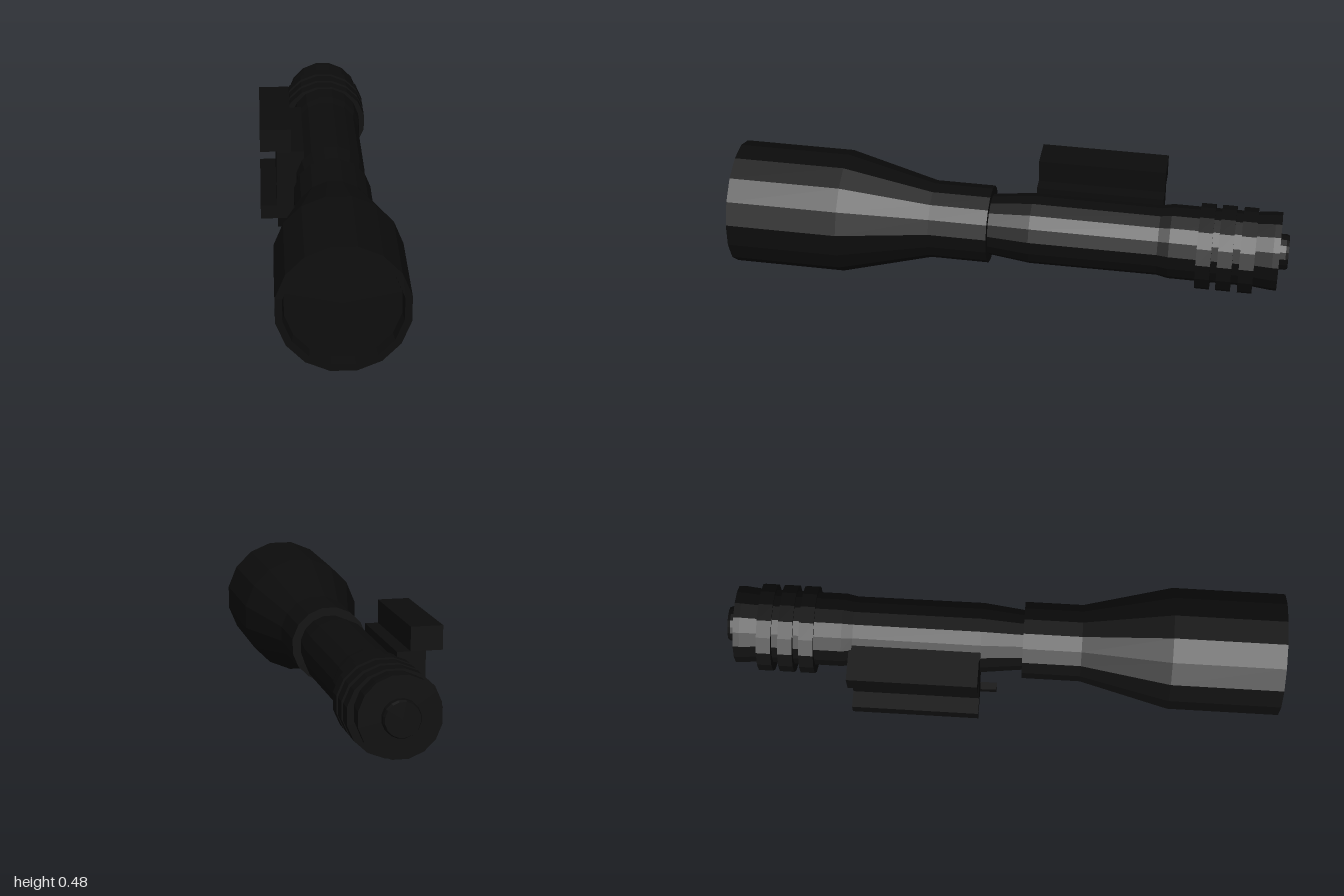
import * as THREE from 'three';

const AXIS_X = 0.018, AXIS_Y = 0.2625, SIDES = 16;

export function createModel() {
  const group = new THREE.Group();
  const black = new THREE.MeshStandardMaterial({ color: 0x0c0c0c });
  black.name = 'matte black';
  black.flatShading = true;

  const add = (name, geometry, x = 0, y = 0, z = 0) => {
    const mesh = new THREE.Mesh(geometry, black);
    mesh.name = name;
    mesh.position.set(x, y, z);
    group.add(mesh);
    return mesh;
  };

  // Turned part along z; profile is [distance to flat, z] from back to front
  const turned = (name, profile) => {
    const points = profile.map(([r, z]) => new THREE.Vector2(r / Math.cos(Math.PI / SIDES), z));
    const geometry = new THREE.LatheGeometry(points, SIDES, Math.PI / SIDES);
    geometry.rotateX(Math.PI / 2);
    return add(name, geometry, AXIS_X, AXIS_Y);
  };

  // Box given by its limits on each axis
  const block = (name, [x0, x1], [y0, y1], [z0, z1]) =>
    add(name, new THREE.BoxGeometry(x1 - x0, y1 - y0, z1 - z0),
      (x0 + x1) / 2, (y0 + y1) / 2, (z0 + z1) / 2);

  // Outline in [z, y], extruded from x0 to x1
  const sidePlate = (name, outline, x0, x1) => {
    const shape = new THREE.Shape(outline.map(([z, y]) => new THREE.Vector2(-z, y)));
    const geometry = new THREE.ExtrudeGeometry(shape, { depth: x1 - x0, bevelEnabled: false });
    geometry.rotateY(Math.PI / 2);
    return add(name, geometry, x0);
  };

  // Flared head with a recessed front
  turned('head', [
    [0, 0.07], [0.1375, 0.07], [0.1375, 0.28], [0.2175, 0.6], [0.2175, 1],
    [0.194, 1], [0.188, 0.95]
  ]);
  turned('lens', [[0.189, 0.955], [0, 0.955]]);

  // Handle tube and tail
  turned('barrel', [
    [0, -0.88], [0.131, -0.88], [0.131, -0.58], [0.123, -0.54],
    [0.125, -0.08], [0.107, 0.075]
  ]);
  turned('tailCap', [[0, -0.968], [0.1375, -0.968], [0.1375, -0.945], [0.13, -0.87]]);
  turned('tailButton', [[0, -1], [0.058, -1], [0.0625, -0.99], [0.0625, -0.96]]);

  // Grip rings, slightly wider than tall and set a little low
  for (const z of [-0.705, -0.78, -0.857]) {
    const ring = turned('gripRing', [[0, -0.026], [0.157, -0.026], [0.157, 0.026], [0, 0.026]]);
    ring.scale.y = 0.94;
    ring.position.set(0.0155, 0.2525, z);
  }

  // Side rail: two flanges joined by a web
  const railZ = [-0.54, -0.08];
  block('upperFlange', [-0.24, -0.127], [0.37, 0.455], railZ);
  block('lowerFlange', [-0.24, -0.12], [0.105, 0.157], railZ);
  block('railWeb', [-0.18, -0.08], [0.157, 0.37], railZ);
  block('railTopSupport', [-0.18, -0.127], [0.365, 0.375], railZ);

  // Clamp under the rail, with a quick release lever
  sidePlate('clamp', [
    [-0.21, 0.11], [-0.232, 0.006], [-0.24, 0], [-0.375, 0], [-0.383, 0.006], [-0.4, 0.11]
  ], -0.175, -0.13);
  const knob = new THREE.CylinderGeometry(0.045, 0.045, 0.04, 12);
  knob.rotateZ(Math.PI / 2);
  add('leverPivot', knob, -0.115, 0.065, -0.3);
  sidePlate('lever', [
    [-0.02, 0.104], [-0.02, 0.078], [-0.2, 0.058], [-0.3, 0.025], [-0.3, 0.1], [-0.22, 0.085]
  ], -0.125, -0.097);

  return group;
}
